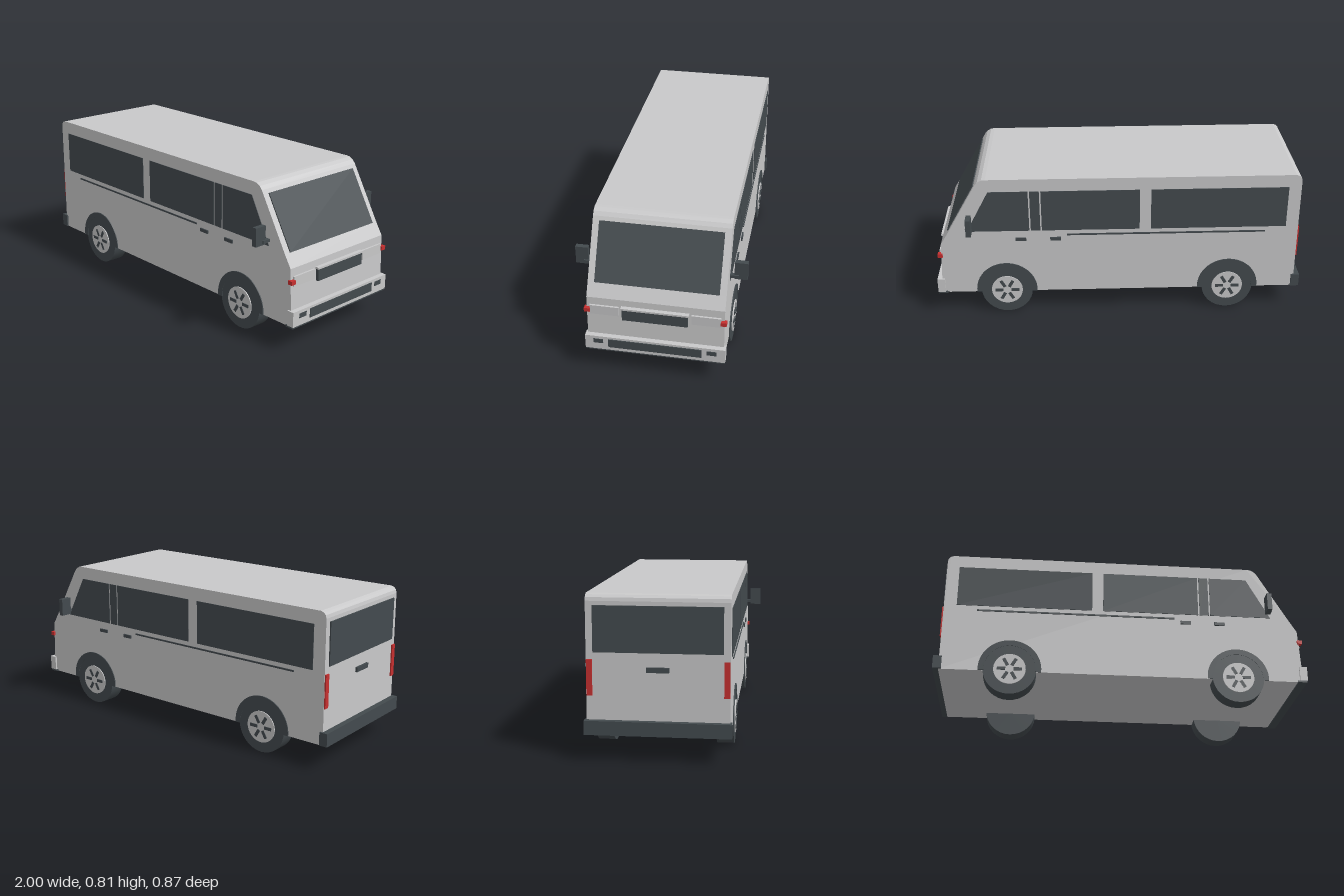
import * as THREE from 'three';

const mat = (name, color) => Object.assign(new THREE.MeshStandardMaterial({ color }), { name });

export function createModel() {
  const paint = mat('silver paint', 0xc8c8c9);
  const dark = mat('dark glass and rubber', 0x434a4e);
  const red = mat('red lamp', 0xc62f2f);
  const van = new THREE.Group();
  van.name = 'van';

  const add = (name, geo, material, parent = van) => {
    const m = new THREE.Mesh(geo, material);
    m.name = name;
    parent.add(m);
    return m;
  };
  // Box given by its limits on each axis
  const box = (name, material, [x0, x1], [y0, y1], [z0, z1], parent = van) => {
    const m = add(name, new THREE.BoxGeometry(x1 - x0, y1 - y0, z1 - z0), material, parent);
    m.position.set((x0 + x1) / 2, (y0 + y1) / 2, (z0 + z1) / 2);
    return m;
  };
  // Side outline (x, y) extruded between two z limits
  const slab = (name, material, pts, z0, z1, parent = van) => {
    const shape = new THREE.Shape(pts.map(p => new THREE.Vector2(...p)));
    const geo = new THREE.ExtrudeGeometry(shape, { depth: z1 - z0, bevelEnabled: false });
    geo.translate(0, 0, z0);
    return add(name, geo, material, parent);
  };

  // Body shell
  slab('body', paint, [
    [-0.97, 0.128], [0.935, 0.128], [0.972, 0.14], [0.97, 0.21], [0.96, 0.43], [0.92, 0.495],
    [0.757, 0.778], [0.742, 0.796], [0.72, 0.808], [0.7, 0.81],
    [-0.935, 0.81], [-0.952, 0.804], [-0.963, 0.792], [-0.967, 0.775],
  ], -0.346, 0.346);

  // Windscreen, laid just above the sloping front
  slab('windscreen', dark, [[0.91, 0.495], [0.925, 0.497], [0.773, 0.761], [0.76, 0.757]], -0.312, 0.312);

  // Front panel
  box('grille', dark, [0.95, 0.98], [0.322, 0.385], [-0.165, 0.165]);
  box('grilleTrim', paint, [0.95, 0.983], [0.385, 0.395], [-0.17, 0.17]);
  box('frontBumper', paint, [0.955, 0.996], [0.135, 0.215], [-0.356, 0.356]);
  box('bumperLip', dark, [0.945, 0.992], [0.125, 0.136], [-0.354, 0.354]);
  box('lowerGrille', dark, [0.99, 1], [0.155, 0.203], [-0.237, 0.237]);

  // Rear panel
  box('rearBumper', dark, [-1, -0.955], [0.13, 0.2], [-0.356, 0.356]);
  box('rearWindow', dark, [-0.974, -0.966], [0.53, 0.755], [-0.312, 0.312]);
  box('tailgateHandle', dark, [-0.98, -0.965], [0.437, 0.462], [-0.055, 0.055]);

  for (const s of [1, -1]) {
    const side = new THREE.Group();
    side.name = s > 0 ? 'leftSide' : 'rightSide';
    van.add(side);
    // z limits of a part on this side, listed for the positive side
    const z = (a, b) => (s > 0 ? [a, b] : [-b, -a]);
    const skin = z(0.343, 0.349);

    // Side glass and pillar
    box('rearSideWindow', dark, [-0.9, -0.17], [0.507, 0.74], skin, side);
    box('middleSideWindow', dark, [-0.11, 0.414], [0.507, 0.74], skin, side);
    box('pillarStrip', dark, [0.422, 0.473], [0.507, 0.74], skin, side);
    slab('frontSideWindow', dark, [[0.481, 0.507], [0.815, 0.507], [0.69, 0.74], [0.481, 0.74]], ...skin, side);

    // Door rail and handles
    box('slidingRail', dark, [-0.79, 0.28], [0.475, 0.484], z(0.343, 0.35), side);
    for (const x of [0.313, 0.5]) box('doorHandle', dark, [x, x + 0.058], [0.447, 0.465], z(0.343, 0.354), side);

    // Mirror on its arm
    box('mirrorArm', dark, [0.795, 0.818], [0.53, 0.545], z(0.34, 0.39), side);
    box('mirror', dark, [0.784, 0.81], [0.52, 0.617], z(0.368, 0.433), side);

    // Lamps
    box('headlight', paint, [0.95, 0.972], [0.337, 0.389], z(0.182, 0.33), side);
    box('indicator', red, [0.955, 0.981], [0.353, 0.374], z(0.328, 0.357), side);
    box('fogLamp', dark, [0.99, 0.999], [0.175, 0.199], z(0.263, 0.313), side);
    box('tailLamp', red, [-0.976, -0.96], [0.32, 0.495], z(0.316, 0.344), side);

    for (const x of [-0.6, 0.618]) {
      // Wheel arch lip
      const arch = new THREE.Shape();
      arch.absarc(0, 0, 0.166, -0.07, Math.PI + 0.07, false);
      arch.absarc(0, 0, 0.135, Math.PI + 0.08, -0.08, true);
      const archGeo = new THREE.ExtrudeGeometry(arch, { depth: 0.007, bevelEnabled: false, curveSegments: 24 });
      add('wheelArch', archGeo, dark, side).position.set(x, 0.14, s > 0 ? 0.344 : -0.351);

      // Wheel: tyre, rim and six dark slots
      const wheel = new THREE.Group();
      wheel.name = 'wheel';
      wheel.position.set(x, 0.14, 0);
      side.add(wheel);
      const disc = (name, material, r, a, b) => {
        const geo = new THREE.CylinderGeometry(r, r, b - a, 32).rotateX(Math.PI / 2);
        add(name, geo, material, wheel).position.z = s * (a + b) / 2;
      };
      disc('tyre', dark, 0.14, 0.262, 0.349);
      disc('rim', paint, 0.085, 0.34, 0.354);
      for (let i = 0; i < 6; i++) {
        const a = (i * Math.PI) / 3;
        const slot = add('rimSlot', new THREE.BoxGeometry(0.044, 0.017, 0.008), dark, wheel);
        slot.position.set(Math.cos(a) * 0.044, Math.sin(a) * 0.044, s * 0.353);
        slot.rotation.z = a;
      }
    }
  }
  return van;
}
